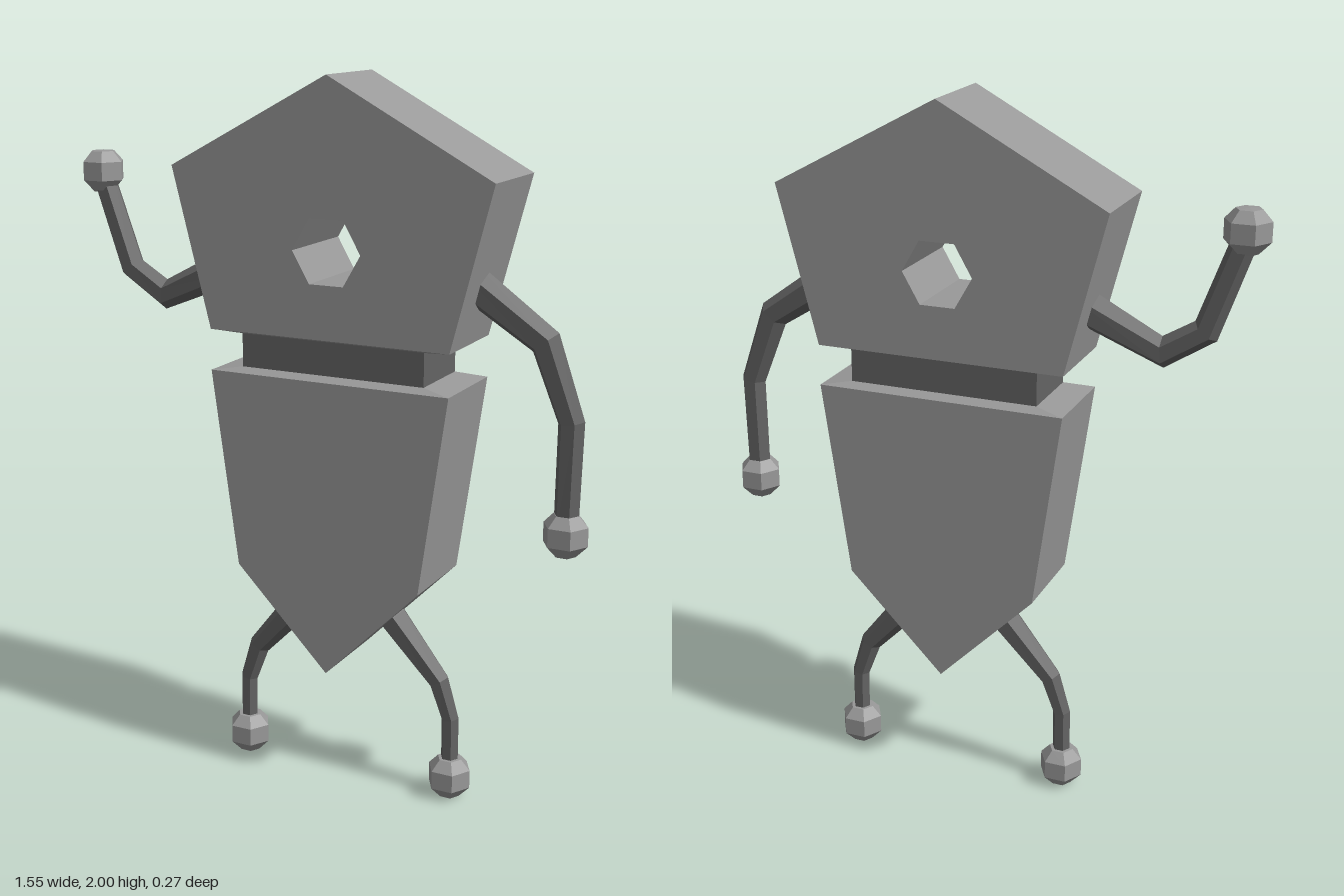
import * as THREE from 'three';

const CX = 0.07; // the body axis sits slightly off centre
const HALF_DEPTH = 0.135;

const bodyGrey = new THREE.MeshStandardMaterial({ name: 'body grey', color: 0x999999, flatShading: true });
const limbGrey = new THREE.MeshStandardMaterial({ name: 'limb dark grey', color: 0x646464, flatShading: true });

function addMesh(parent, name, geometry, material) {
  const mesh = new THREE.Mesh(geometry, material);
  mesh.name = name;
  parent.add(mesh);
  return mesh;
}

// Thick slab from a front outline, with an optional hole
function slab(points, hole) {
  const shape = new THREE.Shape(points.map(([x, y]) => new THREE.Vector2(x, y)));
  if (hole) shape.holes.push(new THREE.Path(hole));
  const geometry = new THREE.ExtrudeGeometry(shape, { depth: 2 * HALF_DEPTH, bevelEnabled: false });
  return geometry.translate(0, 0, -HALF_DEPTH);
}

// Four-sided block tapering between [halfWidth, halfDepth] at two heights
function taperedBlock(y0, [w0, d0], y1, [w1, d1]) {
  const geometry = new THREE.BoxGeometry(2, 2, 2);
  const p = geometry.attributes.position;
  for (let i = 0; i < p.count; i++) {
    const top = p.getY(i) > 0;
    p.setXYZ(i, CX + p.getX(i) * (top ? w1 : w0), top ? y1 : y0, p.getZ(i) * (top ? d1 : d0));
  }
  geometry.computeVertexNormals();
  return geometry;
}

// Six-sided tapering limb along a path of [x, y, radius], with mitred joints
function limb(path) {
  const sides = 6, positions = [], index = [];
  const points = path.map(([x, y]) => new THREE.Vector2(x, y));
  const direction = (i) => points[i + 1].clone().sub(points[i]).normalize();
  path.forEach(([x, y, r], i) => {
    const before = direction(Math.max(i - 1, 0));
    const after = direction(Math.min(i, path.length - 2));
    const t = before.clone().add(after).normalize();
    const miter = r / t.dot(after);
    for (let j = 0; j < sides; j++) {
      const a = (j / sides) * Math.PI * 2;
      const n = Math.cos(a) * miter;
      positions.push(x - t.y * n, y + t.x * n, Math.sin(a) * r);
    }
    if (i === 0) return;
    for (let j = 0; j < sides; j++) {
      const k = (j + 1) % sides, lo = (i - 1) * sides, hi = i * sides;
      index.push(lo + j, lo + k, hi + k, lo + j, hi + k, hi + j);
    }
  });
  const geometry = new THREE.BufferGeometry();
  geometry.setAttribute('position', new THREE.Float32BufferAttribute(positions, 3));
  geometry.setIndex(index);
  const faceted = geometry.toNonIndexed();
  faceted.computeVertexNormals();
  return faceted;
}

// Six-sided knob with chamfered ends, used for hands and feet
function knob(x, y) {
  const profile = [[0, -0.06], [0.03, -0.058], [0.062, -0.025], [0.062, 0.027], [0.035, 0.056], [0, 0.058]];
  const geometry = new THREE.LatheGeometry(profile.map(([r, h]) => new THREE.Vector2(r, h)), 6);
  return geometry.rotateY(Math.PI / 2).translate(x, y, 0);
}

export function createModel() {
  const model = new THREE.Group();
  model.name = 'figure';

  // Head with a hexagonal eye hole
  const eye = Array.from({ length: 6 }, (_, i) => {
    const a = (-i * Math.PI) / 3;
    return new THREE.Vector2(CX + 0.1 * Math.cos(a), 1.545 + 0.1 * Math.sin(a));
  });
  addMesh(model, 'head', slab([[-0.284, 1.31], [0.424, 1.31], [0.538, 1.75], [CX, 2], [-0.398, 1.75]], eye), bodyGrey);

  // Torso ending in a point
  addMesh(model, 'torso', slab([[CX, 0.36], [0.346, 0.64], [0.424, 1.195], [-0.284, 1.195], [-0.206, 0.64]]), bodyGrey);

  // Neck between two shallow sloped collars
  const outer = [0.354, HALF_DEPTH], inner = [0.271, 0.105];
  addMesh(model, 'headUnderside', taperedBlock(1.3, inner, 1.31, outer), bodyGrey);
  addMesh(model, 'neck', taperedBlock(1.2, inner, 1.303, inner), limbGrey);
  addMesh(model, 'torsoTop', taperedBlock(1.195, outer, 1.207, inner), bodyGrey);

  // Arms: the left hangs down, the right is raised
  addMesh(model, 'leftArm', limb([
    [0.38, 1.508, 0.053], [0.635, 1.337, 0.042], [0.712, 1.133, 0.036], [0.708, 0.84, 0.034],
  ]), limbGrey);
  addMesh(model, 'leftHand', knob(0.708, 0.829), bodyGrey);
  addMesh(model, 'rightArm', limb([
    [-0.24, 1.488, 0.054], [-0.51, 1.365, 0.038], [-0.622, 1.435, 0.036], [-0.712, 1.69, 0.034],
  ]), limbGrey);
  addMesh(model, 'rightHand', knob(-0.714, 1.706).rotateX(0), bodyGrey);

  // Legs and feet, mirrored about the body axis
  for (const [side, s] of [['left', 1], ['right', -1]]) {
    const path = [[0.1, 0.605, 0.052], [0.145, 0.505, 0.044], [0.287, 0.342, 0.031], [0.323, 0.235, 0.026], [0.324, 0.08, 0.025]];
    path[0][0] = 0.05;
    addMesh(model, side + 'Leg', limb(path.map(([x, y, r]) => [CX + s * x, y, r])), limbGrey);
    addMesh(model, side + 'Foot', knob(CX + s * 0.324, 0.06), bodyGrey);
  }
  return model;
}
